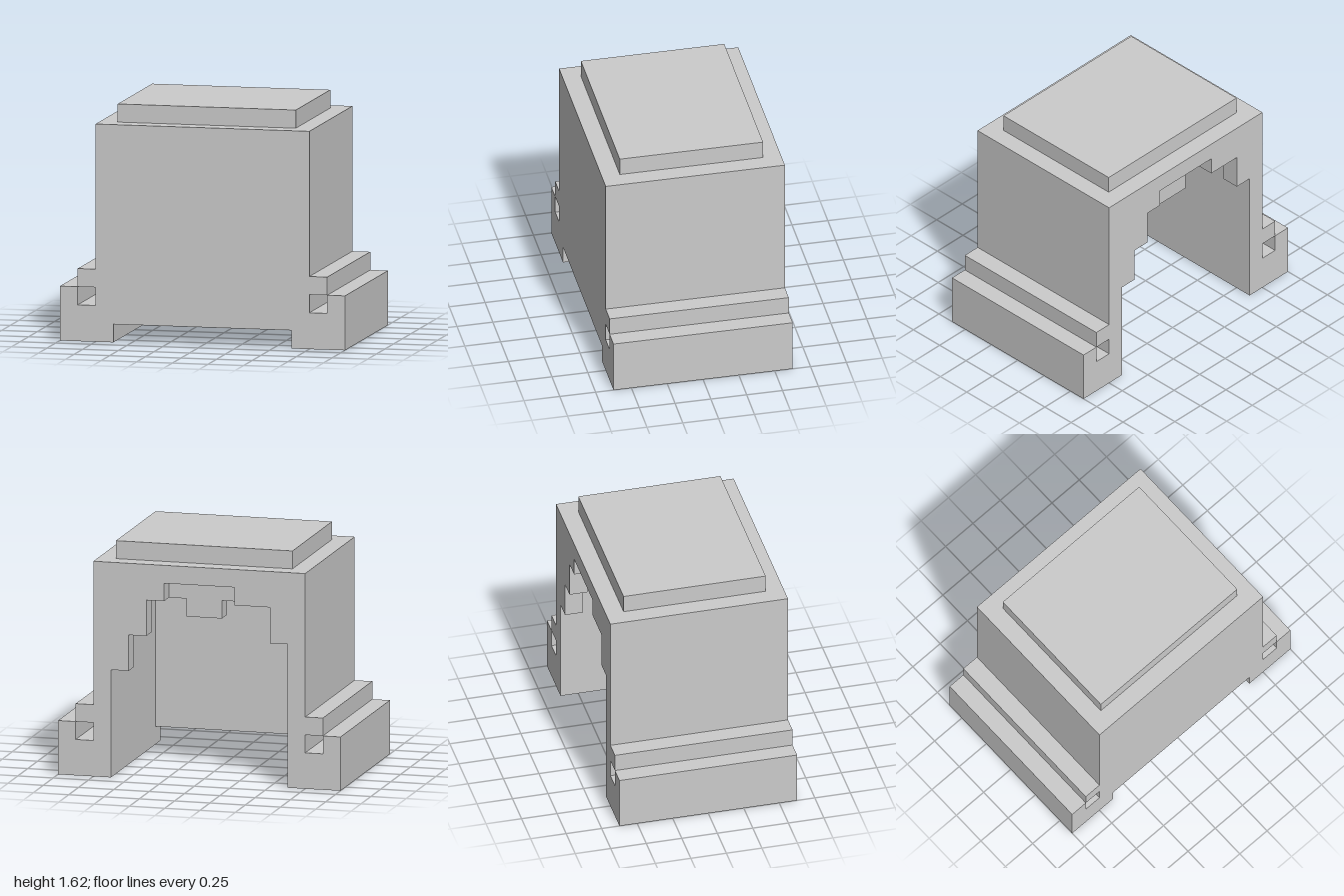
import * as THREE from 'three';

const material = new THREE.MeshStandardMaterial({ color: 0xcccccc, flatShading: true });

function add(group, name, geometry) {
  const mesh = new THREE.Mesh(geometry, material);
  mesh.name = name;
  group.add(mesh);
}

// box given by its minimum and maximum corners
function box(group, name, [x0, y0, z0], [x1, y1, z1]) {
  const g = new THREE.BoxGeometry(x1 - x0, y1 - y0, z1 - z0);
  g.translate((x0 + x1) / 2, (y0 + y1) / 2, (z0 + z1) / 2);
  add(group, name, g);
}

const mirror = (pts) => pts.map(([x, y]) => [-x, y]).reverse();

// outer edge of the left half: foot with groove, then the wall up to the roof
const outerHalf = [
  [1, 0], [1, 0.375], [0.875, 0.375], [0.875, 0.25],
  [0.75, 0.25], [0.75, 1.5],
];
const outer = [...outerHalf, ...mirror(outerHalf)];

// slice of the housing: outer edge closed by an opening running from -x to +x
function slice(group, name, opening, z0, z1) {
  const shape = new THREE.Shape([...outer, ...opening].map(([x, y]) => new THREE.Vector2(x, y)));
  const g = new THREE.ExtrudeGeometry(shape, { depth: z1 - z0, bevelEnabled: false });
  g.translate(0, 0, z0);
  add(group, name, g);
}

export function createModel() {
  const model = new THREE.Group();
  model.name = 'housing';

  // front wall with a low notch between the feet
  slice(model, 'frontWall',
    [[-0.625, 0], [-0.625, 0.125], [0.625, 0.125], [0.625, 0]], 0.5, 0.625);

  // hollow middle, stepping in near the roof
  const hollow = [[0.5, 1.375], [0.5, 1.125], [0.625, 1.125], [0.625, 0]];
  slice(model, 'hollowBody', [...mirror(hollow), ...hollow], -0.5, 0.5);

  // back wall with an uneven stepped opening
  slice(model, 'backWall', [
    [-0.625, 0], [-0.625, 1], [-0.5, 1], [-0.5, 1.25], [-0.25, 1.25], [-0.25, 1.375],
    [0.25, 1.375], [0.25, 1.25], [0.375, 1.25], [0.375, 1], [0.5, 1],
    [0.5, 0.75], [0.625, 0.75], [0.625, 0],
  ], -0.625, -0.5);

  // stepped block hanging from the ceiling behind the opening
  box(model, 'hangingBlockUpper', [-0.25, 1.25, -0.5], [0.25, 1.375, -0.375]);
  box(model, 'hangingBlockLower', [-0.125, 1.125, -0.5], [0.125, 1.25, -0.375]);

  // ledges over the grooves
  box(model, 'leftLedge', [0.75, 0.375, -0.625], [0.875, 0.5, 0.625]);
  box(model, 'rightLedge', [-0.875, 0.375, -0.625], [-0.75, 0.5, 0.625]);

  // raised plate on the roof
  box(model, 'roofPlate', [-0.625, 1.5, -0.5], [0.625, 1.625, 0.5]);

  return model;
}
